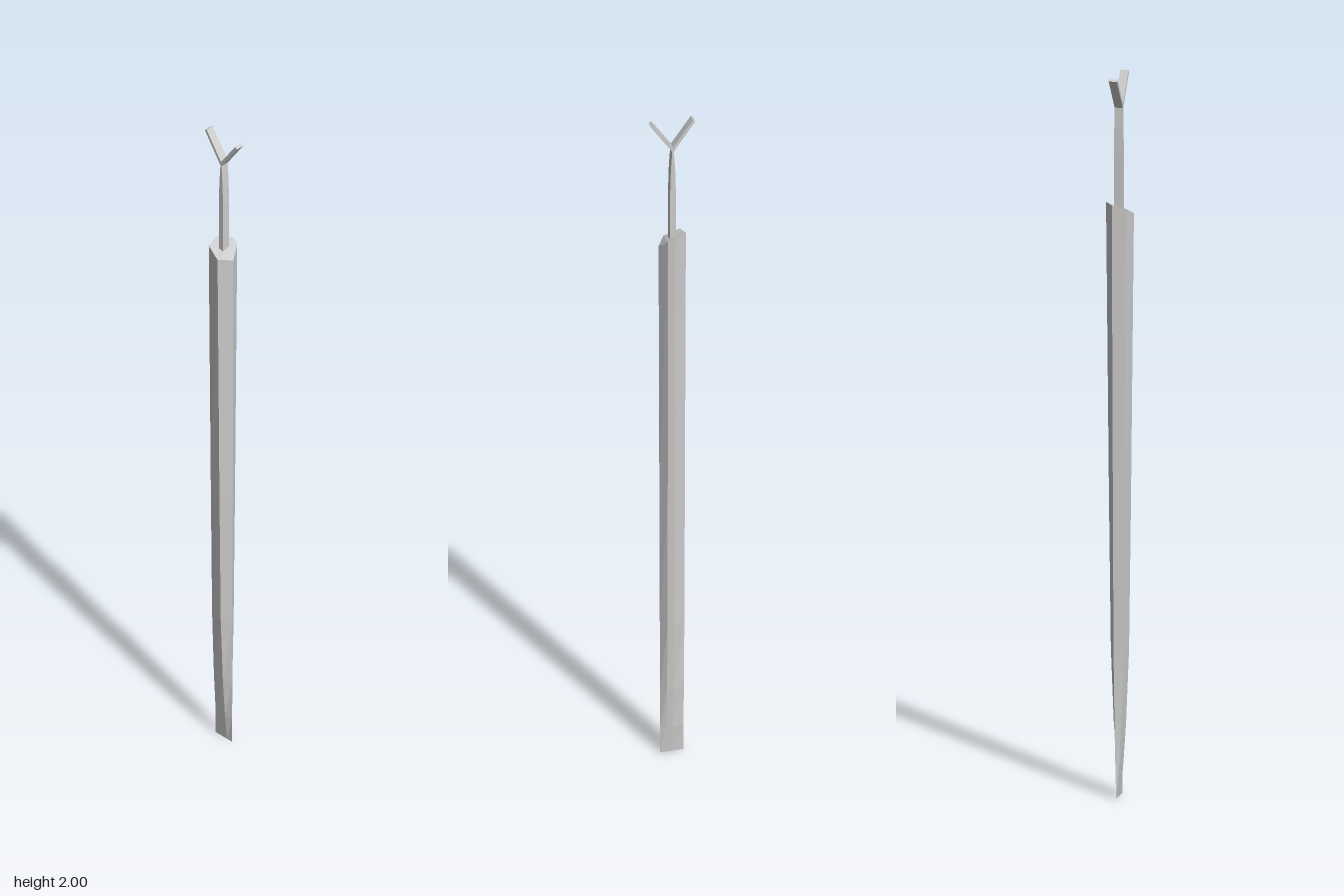
import * as THREE from 'three';

const material = new THREE.MeshStandardMaterial({ color: 0xcccccc, flatShading: true });

// Irregular six-sided post that thins to a chisel edge at the foot
function postGeometry() {
  // x, z and height of each corner on the slanted top
  const rim = [
    [-0.037, 0.014, 1.615], [-0.028, -0.029, 1.636], [0.011, -0.036, 1.645],
    [0.037, 0, 1.645], [0.032, 0.019, 1.635], [0, 0.037, 1.607],
  ];
  // height fraction, x scale, z scale
  const levels = [[0, 0, 0.88], [0.05, 0.2, 0.88], [0.125, 0.42, 0.89], [0.25, 0.64, 0.91], [0.5, 0.78, 0.94], [1, 1, 1]];
  const n = rim.length;
  const positions = [];
  const index = [];
  for (const [t, sx, sz] of levels) {
    for (const [x, z, h] of rim) positions.push(x * sx, h * t, z * sz);
  }
  for (let l = 0; l < levels.length - 1; l++) {
    for (let i = 0; i < n; i++) {
      const a = l * n + i;
      const b = l * n + (i + 1) % n;
      index.push(a, a + n, b, b, a + n, b + n);
    }
  }
  // Slanted cap
  const top = (levels.length - 1) * n;
  for (let i = 1; i < n - 1; i++) index.push(top, top + i + 1, top + i);
  const geometry = new THREE.BufferGeometry();
  geometry.setAttribute('position', new THREE.Float32BufferAttribute(positions, 3));
  geometry.setIndex(index);
  const flat = geometry.toNonIndexed();
  flat.computeVertexNormals();
  return flat;
}

// Flat bar drawn as half an outline in (z, y), mirrored across z and extruded along x
function barGeometry(half) {
  const mirrored = half.filter(([z]) => z > 0).reverse().map(([z, y]) => [-z, y]);
  const shape = new THREE.Shape([...half, ...mirrored].map(([z, y]) => new THREE.Vector2(z, y)));
  const geometry = new THREE.ExtrudeGeometry(shape, { depth: 0.023, bevelEnabled: false });
  geometry.rotateY(-Math.PI / 2);
  geometry.translate(0.0125, 0, 0);
  return geometry;
}

export function createModel() {
  const group = new THREE.Group();
  const add = (name, geometry) => {
    const mesh = new THREE.Mesh(geometry, material);
    mesh.name = name;
    group.add(mesh);
  };
  add('post', postGeometry());
  // Tapered stem rising from the post
  add('stem', barGeometry([[0.008, 1.6], [0.008, 1.78], [0.006, 1.85], [0.002, 1.912]]));
  // Two prongs spreading to front and back
  add('fork', barGeometry([[0, 1.905], [0.062, 1.995], [0.055, 2], [0, 1.921]]));
  return group;
}
